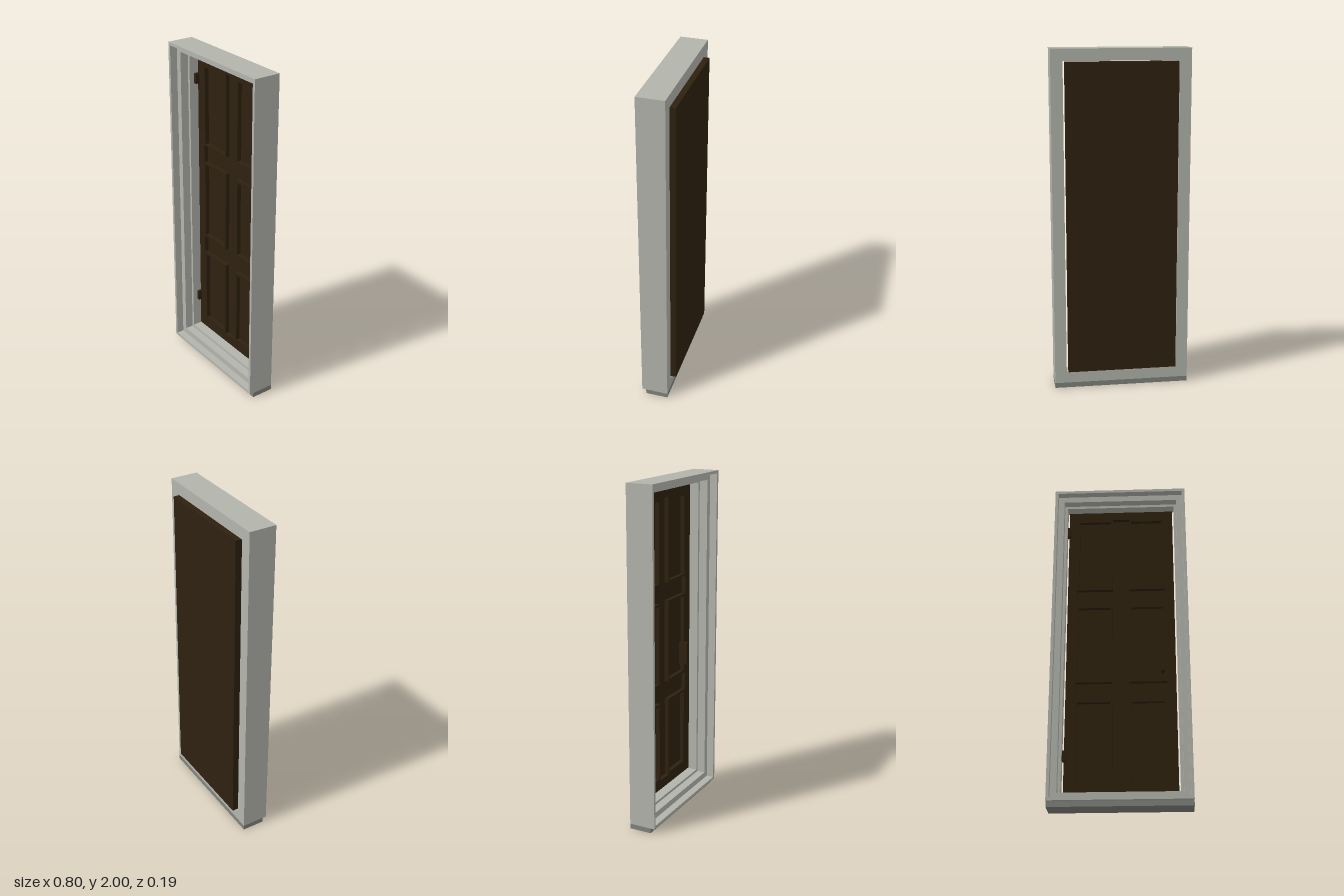
import * as THREE from 'three';

// Closed rectangle points, counter-clockwise
const rect = (x0, y0, x1, y1) => [[x0, y0], [x1, y0], [x1, y1], [x0, y1]].map(p => new THREE.Vector2(...p));

// Flat outline with holes, extruded between two depths
function slab(points, holes, z0, z1) {
  const shape = new THREE.Shape(points);
  for (const h of holes) shape.holes.push(new THREE.Path(h));
  const g = new THREE.ExtrudeGeometry(shape, { depth: z1 - z0, bevelEnabled: false });
  return g.translate(0, 0, z0);
}

// Box given by its lower and upper corners
function block(x0, y0, z0, x1, y1, z1) {
  const g = new THREE.BoxGeometry(x1 - x0, y1 - y0, z1 - z0);
  return g.translate((x0 + x1) / 2, (y0 + y1) / 2, (z0 + z1) / 2);
}

export function createModel() {
  const frameGrey = new THREE.MeshStandardMaterial({ name: 'frameGrey', color: 0xb2b4ac });
  const sillGrey = new THREE.MeshStandardMaterial({ name: 'sillGrey', color: 0x80827c });
  const darkWood = new THREE.MeshStandardMaterial({ name: 'darkWood', color: 0x2e210f });

  const model = new THREE.Group();
  model.name = 'door';
  const add = (name, geometry, material, parent = model) => {
    const mesh = new THREE.Mesh(geometry, material);
    mesh.name = name;
    parent.add(mesh);
  };

  // Stepped frame: nested rings, each one shallower towards the opening
  const frame = new THREE.Group();
  frame.name = 'frame';
  model.add(frame);
  const inset = d => rect(-0.4 + d, 0.03 + d, 0.4 - d, 2 - d);
  const back = -0.065;
  [['outerCasing', 0, 0.017, 0.095], ['middleStep', 0.017, 0.053, 0.05], ['innerJamb', 0.053, 0.069, 0]]
    .forEach(([name, a, b, front]) => add(name, slab(inset(a), [inset(b)], back, front), frameGrey, frame));

  // Sill under the frame
  add('sill', block(-0.4, 0, back, 0.4, 0.03, 0.07), sillGrey);

  // Door leaf: solid back and a front layer with sunk panels
  const leaf = new THREE.Group();
  leaf.name = 'leaf';
  model.add(leaf);
  const face = -0.052, floor = -0.078;
  add('leafBack', block(-0.322, 0.108, -0.097, 0.322, 1.928, floor), darkWood, leaf);

  const holes = [];
  for (const [y0, y1] of [[0.18, 0.645], [0.785, 1.255], [1.39, 1.86]]) {
    holes.push(rect(-0.255, y0, -0.062, y1), rect(0.062, y0, 0.252, y1));
  }
  // Sunk centre strip with two cross bars
  const s = 0.05, r = 0.267;
  const side = [[s, 0.165], [s, 0.66], [r, 0.66], [r, 0.77], [s, 0.77], [s, 1.27],
    [r, 1.27], [r, 1.378], [s, 1.378], [s, 1.875]];
  const cross = [...side, ...side.map(([x, y]) => [-x, y]).reverse()];
  holes.push(cross.map(p => new THREE.Vector2(...p)));
  add('leafFace', slab(rect(-0.322, 0.108, 0.322, 1.928), holes, floor, face), darkWood, leaf);

  // Handle and hinges
  add('handle', block(0.236, 0.83, floor, 0.26, 0.965, -0.025), darkWood, leaf);
  for (const y of [0.32, 1.78]) {
    add('hinge', block(-0.331, y - 0.03, face - 0.01, -0.31, y + 0.03, -0.03), darkWood, leaf);
  }
  return model;
}
